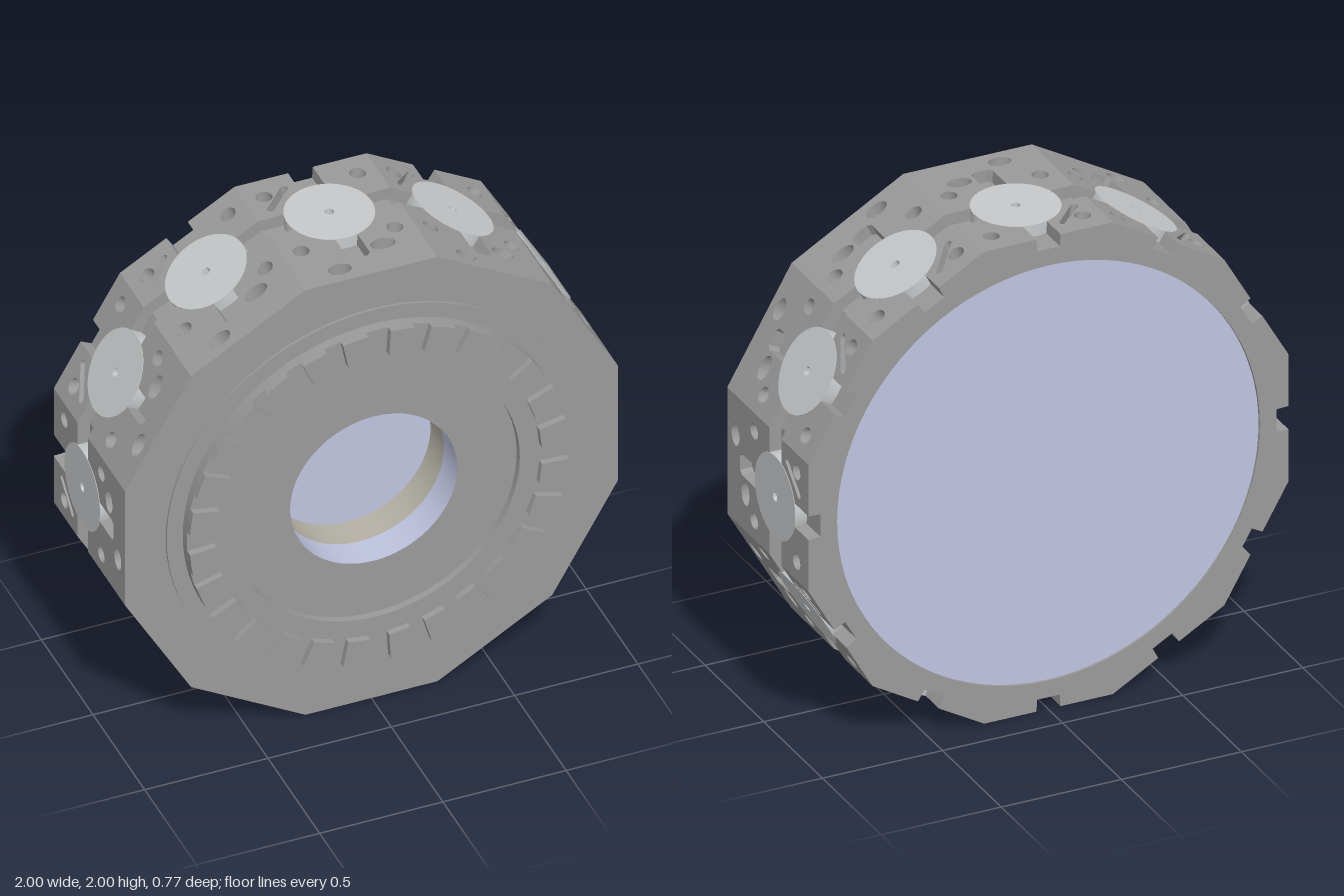
import * as THREE from 'three';
import { toCreasedNormals } from 'three/addons/utils/BufferGeometryUtils.js';

const SIDES = 12, W = Math.tan(Math.PI / SIDES), BACK = -0.38, FRONT = 0.31;
const grey = new THREE.MeshStandardMaterial({ color: 0x9a9a9a, side: THREE.DoubleSide });
const pale = new THREE.MeshStandardMaterial({ color: 0xc6c9cb });
const lavender = new THREE.MeshStandardMaterial({ color: 0xbfc4e0, side: THREE.DoubleSide });
const tan = new THREE.MeshStandardMaterial({ color: 0xb5b1a6, side: THREE.DoubleSide });

const poly = pts => new THREE.Shape(pts.map(p => new THREE.Vector2(...p)));
const ellipse = (u, z, ru, rz = ru) => new THREE.Path().absellipse(u, z, ru, rz, 0, Math.PI * 2, true);

function add(parent, name, geometry, material) {
  const mesh = new THREE.Mesh(geometry, material);
  mesh.name = name;
  parent.add(mesh);
  return mesh;
}

function extrude(shape, z0, z1, curveSegments = 16) {
  return new THREE.ExtrudeGeometry(shape, { depth: z1 - z0, bevelEnabled: false, curveSegments }).translate(0, 0, z0);
}

// A slab of one facet: drawn in (tangent, z), raised along +x, mitred towards the axis
function slab(shape, x0, x1) {
  const g = extrude(shape, x0, x1, 12);
  g.applyMatrix4(new THREE.Matrix4().makeBasis(
    new THREE.Vector3(0, 1, 0), new THREE.Vector3(0, 0, 1), new THREE.Vector3(1, 0, 0)));
  const p = g.attributes.position;
  for (let i = 0; i < p.count; i++) p.setY(i, p.getY(i) * p.getX(i));
  g.computeVertexNormals();
  return g;
}

// Cylinder wall or disc along z
function tubeZ(r, z0, z1, open) {
  return new THREE.CylinderGeometry(r, r, z1 - z0, 96, 1, open).rotateX(Math.PI / 2).translate(0, 0, (z0 + z1) / 2);
}

function polygon(apothem, holeRadius) {
  const r = apothem / Math.cos(Math.PI / SIDES), pts = [];
  for (let i = 0; i < SIDES; i++) {
    const a = (i + 0.5) * Math.PI * 2 / SIDES;
    pts.push([r * Math.cos(a), r * Math.sin(a)]);
  }
  const s = poly(pts);
  s.holes.push(ellipse(0, 0, holeRadius));
  return s;
}

// Straight slot with round ends
function slot(u0, z0, u1, z1, r) {
  const a = Math.atan2(z1 - z0, u1 - u0), p = new THREE.Path();
  p.absarc(u0, z0, r, a + Math.PI / 2, a + Math.PI * 1.5, false);
  p.absarc(u1, z1, r, a - Math.PI / 2, a + Math.PI / 2, false);
  p.closePath();
  return p;
}

export function createModel() {
  const model = new THREE.Group();
  model.name = 'drum';
  const drum = new THREE.Group();
  drum.name = 'drumBody';
  drum.position.y = 1;
  model.add(drum);

  // Core and rear rim
  add(drum, 'core', extrude(polygon(0.89, 0.34), -0.365, FRONT, 48), grey);
  add(drum, 'rearRim', extrude(polygon(0.89, 0.88), BACK, -0.365, 48), grey);
  add(drum, 'rearDisc', tubeZ(0.878, -0.373, -0.36), lavender);

  // Facet slabs: front piece with an axial slot, two rear pieces beyond the girth groove
  const frontHoles = () => [ellipse(0.19, 0.08, 0.032), ellipse(-0.19, 0.08, 0.032),
    ellipse(0.1, 0.24, 0.046, 0.033), ellipse(-0.11, 0.155, 0.05, 0.033)];
  const rearHole = s => ellipse(s * 0.19, -0.28, 0.032);

  const front = poly([[-W, -0.05], [-0.045, -0.05], [-0.045, 0.185], [-0.03, 0.2], [0.03, 0.2],
    [0.045, 0.185], [0.045, -0.05], [W, -0.05], [W, FRONT], [-W, FRONT]]);
  front.holes.push(...frontHoles());
  const rear = s => {
    const shape = poly([[s * 0.05, BACK], [s * W, BACK], [s * W, -0.15], [s * 0.05, -0.15]]);
    shape.holes.push(rearHole(s));
    return shape;
  };
  const rearLeft = rear(1), rearRight = rear(-1);
  rearLeft.holes.push(slot(0.195, -0.2, 0.1, -0.3, 0.014));
  const under = poly([[-W, BACK], [W, BACK], [W, FRONT], [-W, FRONT]]);
  under.holes.push(...frontHoles(), rearHole(1), rearHole(-1));

  // Round pad with a pin hole
  const pad = new THREE.Shape().absarc(0, 0, 0.172, 0, Math.PI * 2, false);
  pad.holes.push(ellipse(0, 0, 0.018));
  const padGeometry = toCreasedNormals(new THREE.ExtrudeGeometry(pad,
    { depth: 0.05, bevelEnabled: false, curveSegments: 32 }), 0.6);
  padGeometry.rotateY(Math.PI / 2).translate(0.952, 0, -0.1);

  const slabs = [['frontPanel', slab(front, 0.95, 1)], ['rearPanelA', slab(rearLeft, 0.95, 1)],
    ['rearPanelB', slab(rearRight, 0.95, 1)], ['grooveFloor', slab(under, 0.89, 0.95)]];
  for (let i = 0; i < SIDES; i++) {
    const facet = new THREE.Group();
    facet.name = 'facet';
    facet.rotation.z = i * Math.PI * 2 / SIDES;
    for (const [name, g] of slabs) add(facet, name, g, grey);
    add(facet, 'roundPad', padGeometry, pale);
    drum.add(facet);
  }

  // Stepped front collar
  const profile = [[0.835, 0.3], [0.835, 0.32], [0.77, 0.32], [0.77, 0.36], [0.58, 0.36], [0.58, 0.33], [0.34, 0.33]];
  const collar = new THREE.LatheGeometry(profile.map(p => new THREE.Vector2(...p)), 96).rotateX(Math.PI / 2);
  add(drum, 'frontCollar', toCreasedNormals(collar, 0.5), grey);

  // Ring of raised teeth, seven per quarter
  const h = THREE.MathUtils.degToRad(3.8);
  const tooth = poly([[0.66 * Math.cos(h), -0.66 * Math.sin(h)], [0.77 * Math.cos(h), -0.77 * Math.sin(h)],
    [0.77, 0], [0.77 * Math.cos(h), 0.77 * Math.sin(h)], [0.66 * Math.cos(h), 0.66 * Math.sin(h)]]);
  const toothGeometry = extrude(tooth, 0.35, 0.387);
  for (let q = 0; q < 4; q++) {
    for (let i = 0; i < 7; i++) {
      add(drum, 'collarTooth', toothGeometry, grey).rotation.z = THREE.MathUtils.degToRad(q * 90 + 7.2 + i * 12.6);
    }
  }

  // Central bore
  add(drum, 'boreOuterWall', tubeZ(0.339, 0.2, 0.33, true), lavender);
  add(drum, 'boreInnerWall', tubeZ(0.339, 0.07, 0.2, true), tan);
  add(drum, 'boreFloor', tubeZ(0.339, 0.05, 0.07), lavender);

  return model;
}
